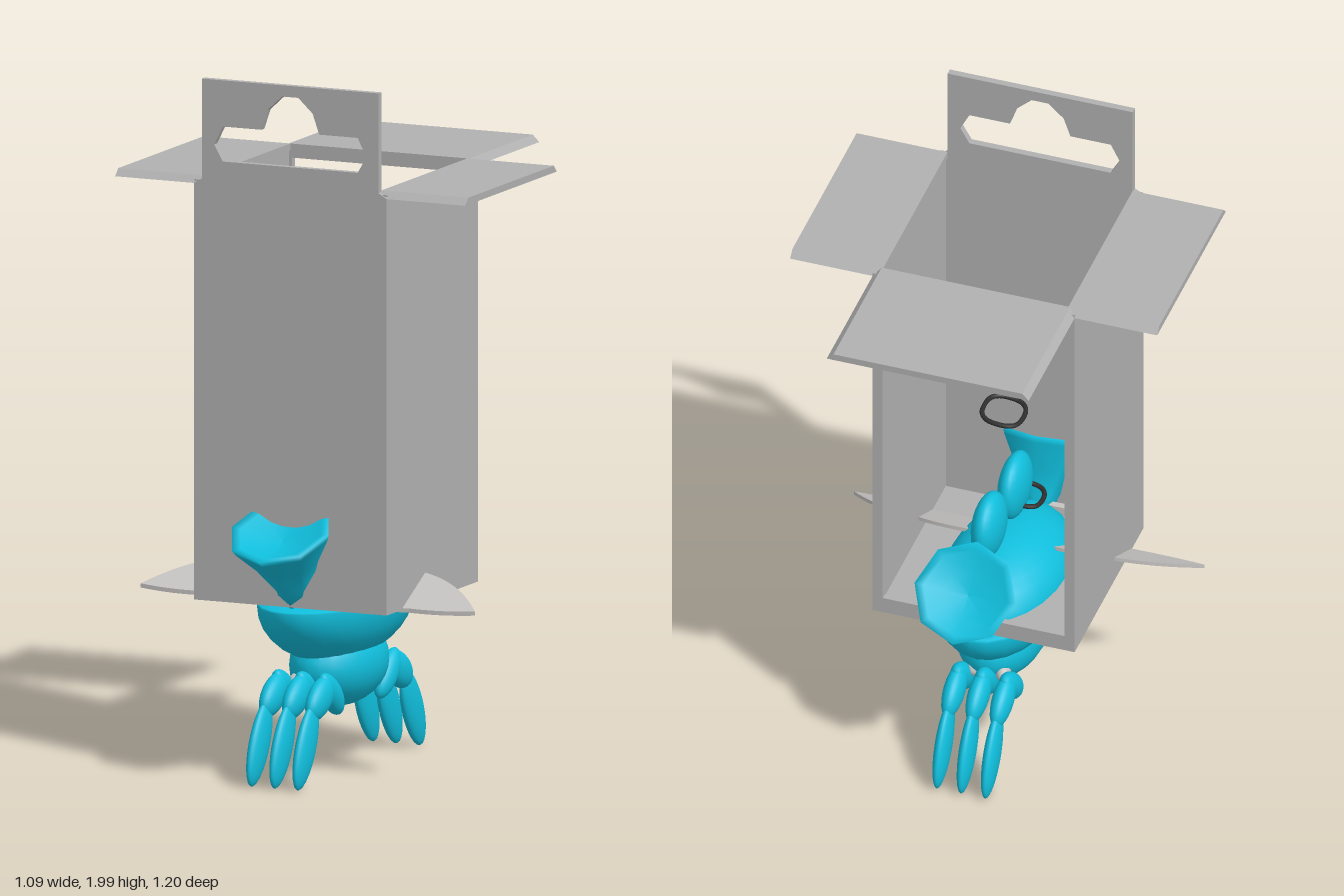
import * as THREE from 'three';

const mat = (name, color) => {
  const m = new THREE.MeshStandardMaterial({ color });
  m.name = name;
  return m;
};

export function createModel() {
  const root = new THREE.Group();
  root.name = 'boxedCreature';
  const card = mat('greyCard', 0xb0b0b0);
  const cyan = mat('cyanSkin', 0x10bedc);
  const pale = mat('paleGrey', 0xc6c2c2);
  const dark = mat('darkWire', 0x2e2e2e);

  const add = (name, geo, m, x = 0, y = 0, z = 0, parent = root) => {
    const mesh = new THREE.Mesh(geo, m);
    mesh.name = name;
    mesh.position.set(x, y, z);
    parent.add(mesh);
    return mesh;
  };
  const blob = (rx, ry, rz) => new THREE.SphereGeometry(1, 24, 16).scale(rx, ry, rz);
  const poly = pts => pts.map(p => new THREE.Vector2(p[0], p[1]));
  const extrude = (shape, depth) =>
    new THREE.ExtrudeGeometry(shape, { depth, bevelEnabled: false, curveSegments: 10 });

  // Box walls and floor
  for (const s of [-1, 1]) add('sideWall', new THREE.BoxGeometry(0.02, 1.2, 0.59), card, s * 0.29, 1.11, 0.1);
  add('boxFloor', new THREE.BoxGeometry(0.6, 0.02, 0.6), card, 0, 0.52, 0.1);

  // Front panel with hanging tab and punched slot
  const front = new THREE.Shape(poly([
    [-0.3, 0.51], [0.3, 0.51], [0.3, 1.7], [0.275, 1.715], [0.275, 2], [-0.275, 2], [-0.275, 1.715], [-0.3, 1.7]]));
  const half = [[0.21, 1.768], [0.237, 1.815], [0.21, 1.868], [0.09, 1.868], [0.07, 1.926], [0.025, 1.968]];
  front.holes.push(new THREE.Path(poly([...half, ...half.map(p => [-p[0], p[1]]).reverse()])));
  add('frontPanel', extrude(front, 0.02), card, 0, 0, 0.38);

  // Back panel with open window
  const back = new THREE.Shape(poly([[-0.3, 0.51], [0.3, 0.51], [0.3, 1.71], [-0.3, 1.71]]));
  back.holes.push(new THREE.Path(poly([[-0.27, 0.56], [-0.27, 1.68], [0.27, 1.68], [0.27, 0.56]])));
  add('windowPanel', extrude(back, 0.02), card, 0, 0, -0.2);

  // Open flaps with bevelled long edges
  const flap = (len, x, z, turn) => {
    const s = new THREE.Shape(poly([[-0.3, 0], [0.3, 0], [0.28, 0.02], [-0.28, 0.02]]));
    add('topFlap', extrude(s, len), card, x, 1.7, z).rotation.y = turn;
  };
  flap(0.27, 0.275, 0.1, Math.PI / 2);
  flap(0.27, -0.275, 0.1, -Math.PI / 2);
  flap(0.42, 0, -0.18, Math.PI);

  // Body: wide underside below the floor, narrower dome inside the box
  const under = blob(0.188, 0.18, 0.337);
  const p = under.attributes.position;
  for (let i = 0; i < p.count; i++) if (p.getY(i) > 0) p.setY(i, p.getY(i) * 0.13);
  under.computeVertexNormals();
  add('bodyUnderside', under, cyan, 0, 0.495, 0.1);
  add('bodyDome', blob(0.178, 0.15, 0.285), cyan, 0, 0.5, 0.1);
  add('belly', blob(0.125, 0.125, 0.2), cyan, 0.01, 0.31, 0.1);

  // Eight-sided flared cups at both ends
  const cup = (y, z, tilt) => {
    const g = new THREE.LatheGeometry(poly([
      [0.001, -0.25], [0.05, -0.24], [0.055, -0.19], [0.095, -0.1], [0.143, -0.02], [0.15, 0],
      [0.125, -0.005], [0.07, -0.03], [0.001, -0.04]]), 8);
    add('flaredCup', g, cyan, 0, y, z).rotation.x = tilt;
  };
  cup(0.74, 0.465, 0.5);
  cup(0.7, -0.275, -0.77);

  // Crest lobes on the back
  add('crestLobe', blob(0.045, 0.1, 0.095), cyan, 0.02, 0.74, -0.005);
  add('crestLobe', blob(0.042, 0.1, 0.098), cyan, 0.015, 0.73, 0.205);

  // Thin leaf fins through the side walls
  for (const s of [-1, 1]) {
    const leaf = new THREE.Shape();
    leaf.moveTo(s * 0.09, -0.27);
    leaf.quadraticCurveTo(s * 0.2, -0.305, s * 0.32, -0.295);
    leaf.quadraticCurveTo(s * 0.42, -0.3, s * 0.52, -0.285);
    leaf.quadraticCurveTo(s * 0.42, -0.17, s * 0.29, -0.145);
    leaf.quadraticCurveTo(s * 0.2, -0.11, s * 0.09, -0.13);
    const g = extrude(leaf, 0.012).rotateX(-Math.PI / 2);
    const q = g.attributes.position;
    for (let i = 0; i < q.count; i++) q.setY(i, q.getY(i) + 0.503 + (0.295 - q.getZ(i)) * 0.52);
    g.computeVertexNormals();
    add('sideFin', g, pale);
  }

  // Three-toed feet at both ends, each toe a chain of flattened segments
  const segments = [
    [0.185, 0.25, 0.085, 0.038, 0.8],
    [0.255, 0.25, 0.085, 0.048, -0.55],
    [0.35, 0.125, 0.128, 0.052, -1.1]];
  for (const turn of [0, Math.PI]) {
    const foot = new THREE.Group();
    foot.name = 'foot';
    foot.position.z = 0.1;
    foot.rotation.y = turn;
    root.add(foot);
    for (const x of [-0.072, 0, 0.072]) {
      segments.forEach(([d, y, len, thick, rise], i) => {
        add('toeSegment', blob(i === 2 ? 0.022 : 0.03, thick, len), cyan, x, y, d, foot).rotation.x = -rise;
      });
      add('toePad', blob(0.02, 0.025, 0.03), pale, x * 0.6, 0.275, 0.165, foot);
    }
  }
  add('innerBar', new THREE.BoxGeometry(0.22, 0.03, 0.02), pale, 0, 0.56, 0.345);

  // Loose wire loops, rounded squares
  const loop = (x, y, z, rx, rz) => {
    const pts = [];
    for (let i = 0; i < 16; i++) {
      const a = i / 16 * Math.PI * 2, c = Math.cos(a), s = Math.sin(a);
      pts.push(new THREE.Vector3(
        Math.sign(c) * rx * Math.abs(c) ** 0.75, 0.008 * c, Math.sign(s) * rz * Math.abs(s) ** 0.75));
    }
    const curve = new THREE.CatmullRomCurve3(pts, true);
    add('wireLoop', new THREE.TubeGeometry(curve, 48, 0.007, 8, true), dark, x, y, z);
  };
  loop(0.012, 1.07, 0.1, 0.058, 0.063);
  loop(-0.005, 0.68, 0.235, 0.052, 0.052);

  return root;
}
